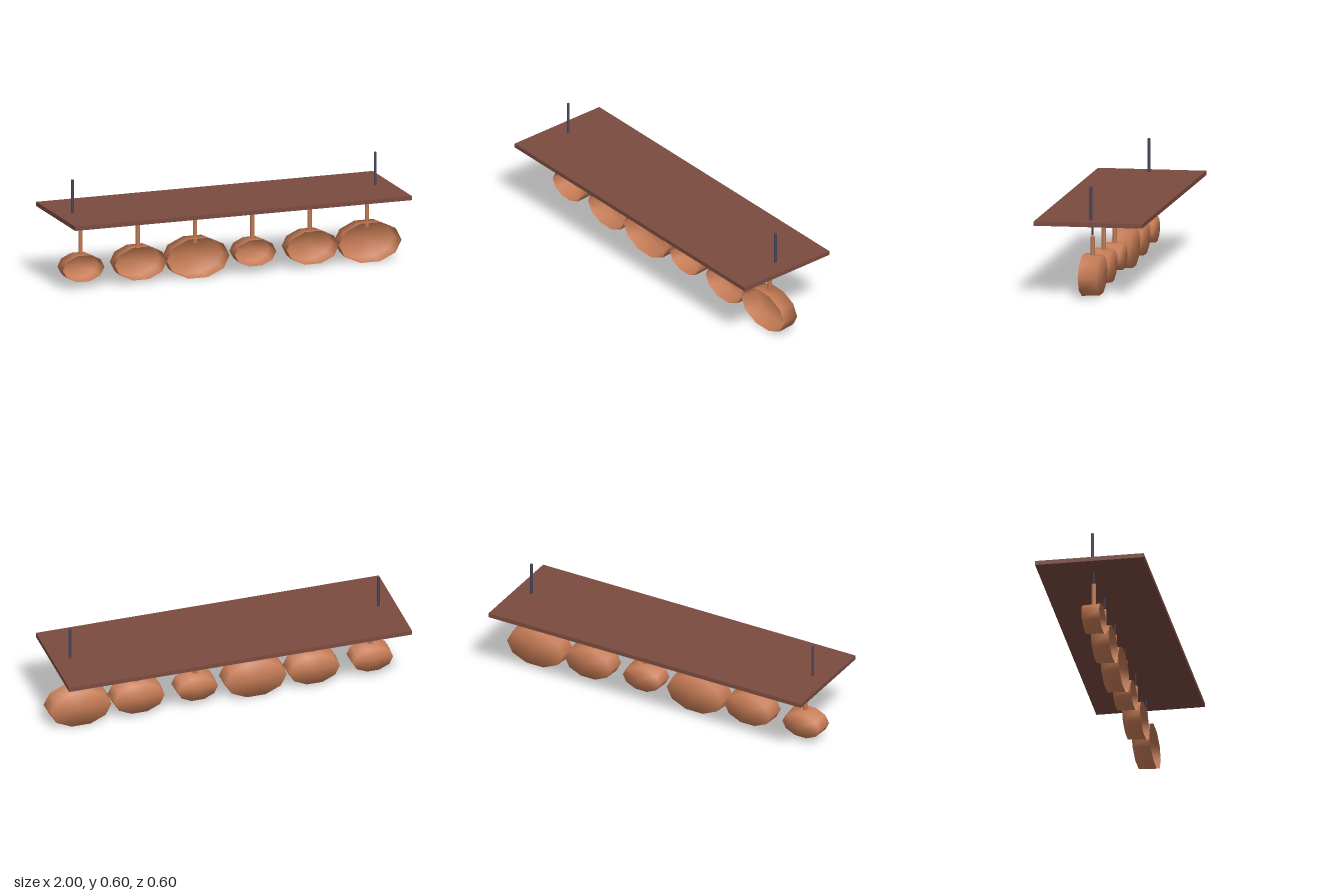
import * as THREE from 'three';

export function createModel() {
  const group = new THREE.Group();
  group.name = 'hangingPanRack';

  const material = (name, color, side = THREE.FrontSide) => {
    const m = new THREE.MeshStandardMaterial({ color, side });
    m.name = name;
    return m;
  };
  const wood = material('darkWood', 0x7b4b40);
  const iron = material('darkIron', 0x4a475c);
  const copper = material('copper', 0xc67c56, THREE.DoubleSide);

  const add = (parent, name, geometry, mat, x, y, z = 0) => {
    const mesh = new THREE.Mesh(geometry, mat);
    mesh.name = name;
    mesh.position.set(x, y, z);
    parent.add(mesh);
    return mesh;
  };
  // Upright bar between two heights
  const bar = (parent, name, mat, x, y0, y1, radius, sides) =>
    add(parent, name, new THREE.CylinderGeometry(radius, radius, y1 - y0, sides), mat, x, (y0 + y1) / 2);

  // Board with its two suspension rods
  add(group, 'board', new THREE.BoxGeometry(1.96, 0.024, 0.6), wood, -0.02, 0.405);
  for (const x of [-0.903, 0.861]) bar(group, 'suspensionRod', iron, x, 0.405, 0.602, 0.008, 6);

  // Shallow pan, open to the front, with softly shaded walls and base
  const panGeometry = (radius) => {
    const profile = [
      new THREE.Vector2(0, -0.05),
      new THREE.Vector2(radius * 0.95, -0.05),
      new THREE.Vector2(radius, 0.05),
    ];
    const g = new THREE.LatheGeometry(profile, 10, Math.PI / 2);
    g.rotateX(Math.PI / 2);
    g.scale(1, 0.633, 1);
    return g;
  };

  // Row of pans in three repeating sizes, each below its hook
  const radii = [0.121, 0.152, 0.183];
  for (let i = 0; i < 6; i++) {
    const x = -0.856 + i * 0.3337;
    const unit = new THREE.Group();
    unit.name = 'hangingPan' + (i + 1);
    bar(unit, 'hook', iron, x, 0.326, 0.395, 0.0058, 3);
    bar(unit, 'handle', copper, x, 0.187, 0.32, 0.012, 6);
    add(unit, 'pan', panGeometry(radii[i % 3]), copper, x, 0.11);
    group.add(unit);
  }
  return group;
}
